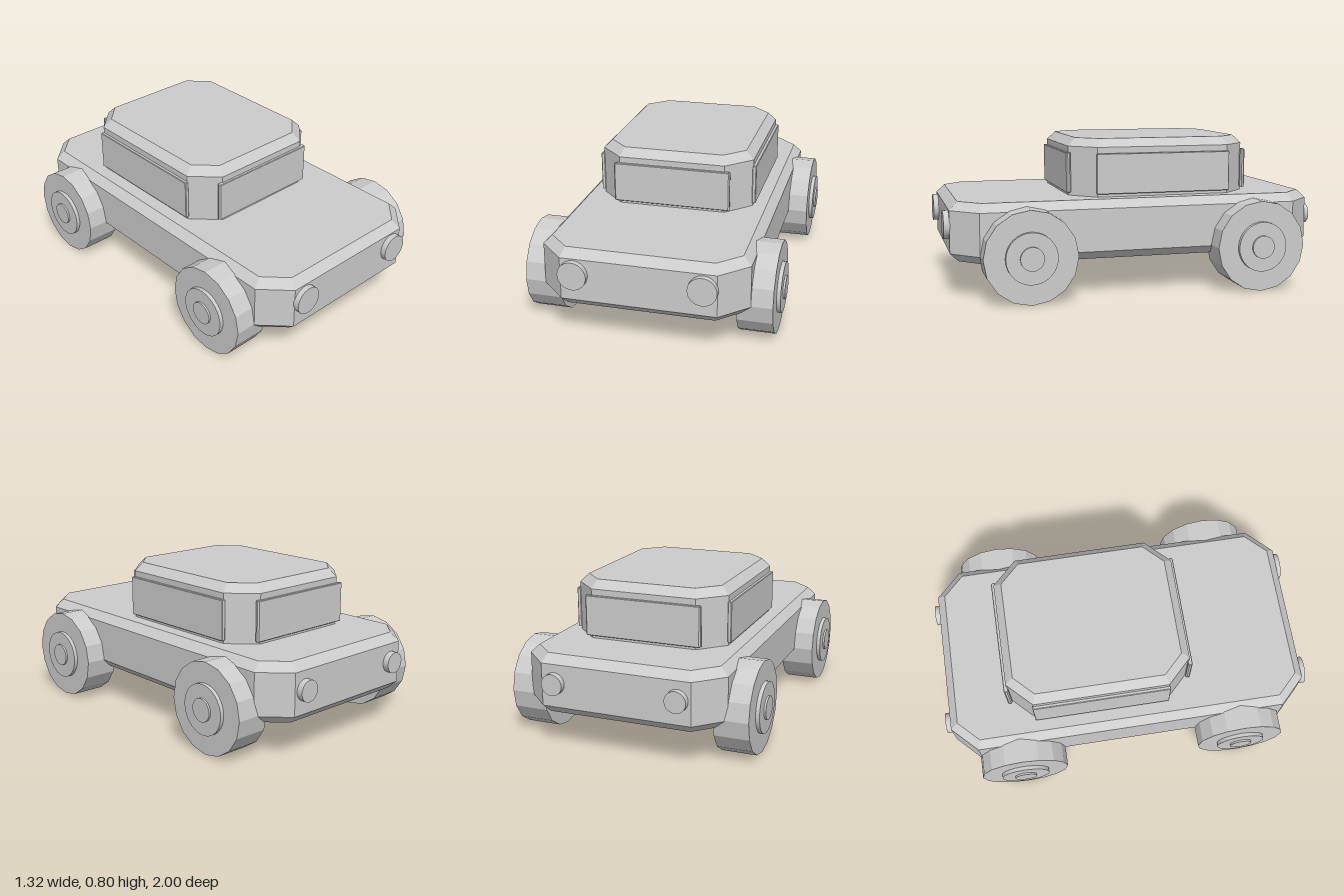
import * as THREE from 'three';

// Block with cut vertical corners and bevelled top and bottom edges.
function chamferedBlock(w, h, d, cut, bevel) {
  const x = w / 2, z = d / 2;
  const outline = new THREE.Shape([
    [x, -z + cut], [x, z - cut], [x - cut, z], [-x + cut, z],
    [-x, z - cut], [-x, -z + cut], [-x + cut, -z], [x - cut, -z],
  ].map(([a, b]) => new THREE.Vector2(a, b)));
  const geo = new THREE.ExtrudeGeometry(outline, {
    depth: h - 2 * bevel, bevelEnabled: true, bevelSegments: 1,
    bevelThickness: bevel, bevelSize: bevel, bevelOffset: -bevel,
  });
  geo.rotateX(-Math.PI / 2);
  geo.translate(0, bevel - h / 2, 0);
  return geo;
}

export function createModel() {
  const car = new THREE.Group();
  car.name = 'car';
  const grey = new THREE.MeshStandardMaterial({ color: 0xcccccc });
  grey.name = 'light grey';

  const add = (name, geo, x, y, z, parent = car) => {
    const mesh = new THREE.Mesh(geo, grey);
    mesh.name = name;
    mesh.position.set(x, y, z);
    parent.add(mesh);
    return mesh;
  };

  // Body and cabin
  add('body', chamferedBlock(1.05, 0.305, 1.94, 0.135, 0.043), 0, 0.342, 0.002);
  add('cabin', chamferedBlock(0.82, 0.385, 0.967, 0.128, 0.043), 0, 0.6025, -0.143);

  // Windows
  const endWindow = chamferedBlock(0.624, 0.21, 0.024, 0.007, 0.003);
  add('windscreen', endWindow, 0, 0.615, 0.343);
  add('rearWindow', endWindow, 0, 0.615, -0.63);
  const sideWindow = chamferedBlock(0.02, 0.21, 0.725, 0.003, 0.003);

  // Wheels: flat-sided tyre with a round hub and cap
  const tyre = new THREE.CylinderGeometry(0.237, 0.237, 0.18, 16).rotateZ(Math.PI / 2).toNonIndexed();
  tyre.computeVertexNormals();
  const hub = new THREE.CylinderGeometry(0.13, 0.13, 0.04, 32).rotateZ(Math.PI / 2);
  const cap = new THREE.CylinderGeometry(0.06, 0.06, 0.03, 24).rotateZ(Math.PI / 2);

  // Lamps
  const headlight = new THREE.CylinderGeometry(0.073, 0.073, 0.06, 32).rotateX(Math.PI / 2);
  const tailLight = new THREE.CylinderGeometry(0.055, 0.055, 0.06, 32).rotateX(Math.PI / 2);

  for (const [side, s] of [['left', 1], ['right', -1]]) {
    add(side + 'Window', sideWindow, s * 0.416, 0.615, -0.143);
    add(side + 'Headlight', headlight, s * 0.322, 0.371, 0.97);
    add(side + 'TailLight', tailLight, s * 0.322, 0.355, -0.97);
    for (const [end, z] of [['Front', 0.6], ['Rear', -0.61]]) {
      const wheel = new THREE.Group();
      wheel.name = side + end + 'Wheel';
      wheel.position.set(s * 0.542, 0.237, z);
      car.add(wheel);
      add('tyre', tyre, 0, 0, 0, wheel);
      add('hub', hub, s * 0.09, 0, 0, wheel);
      add('hubCap', cap, s * 0.105, 0, 0, wheel);
    }
  }
  return car;
}
